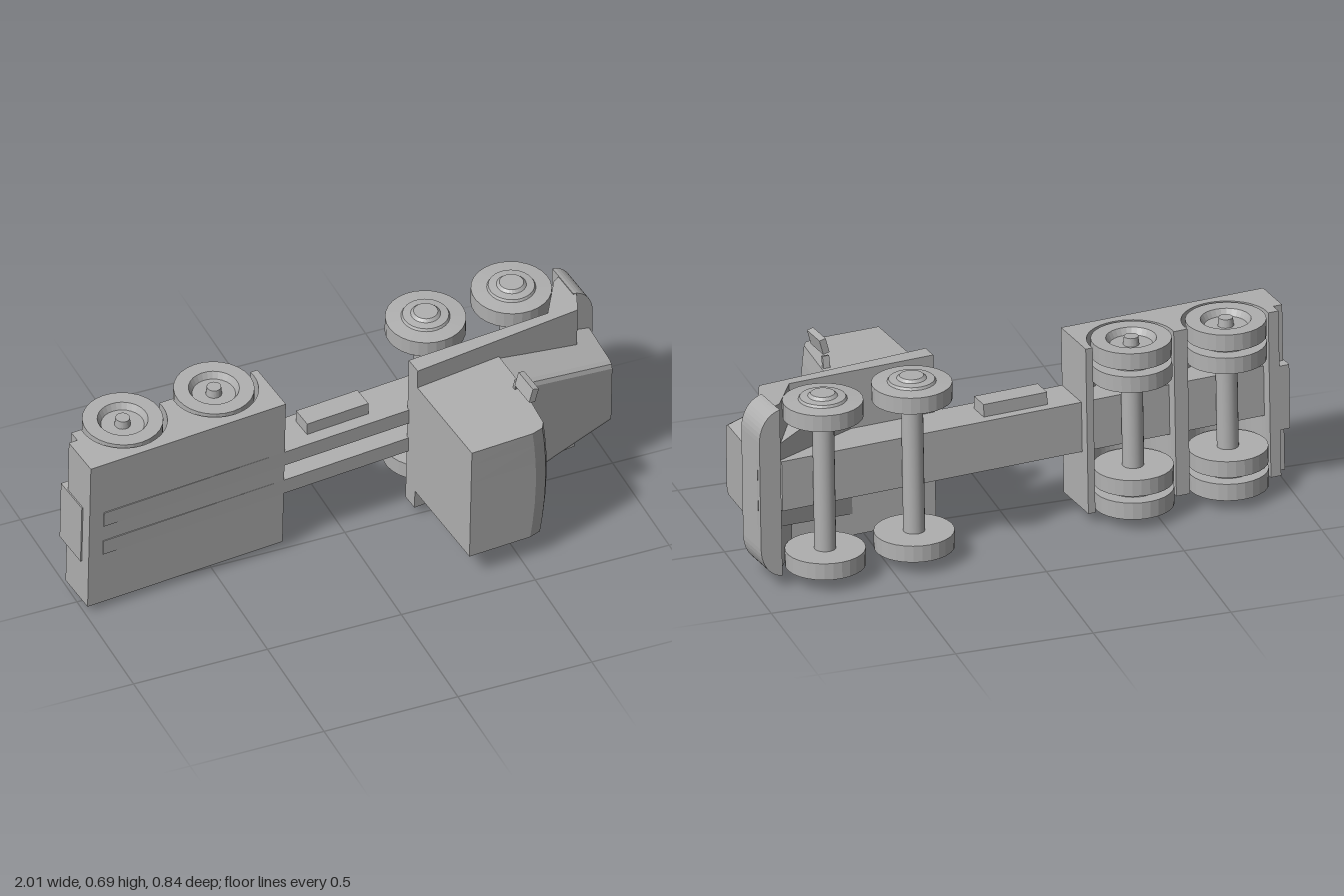
import * as THREE from 'three';

const grey = new THREE.MeshStandardMaterial({ color: 0xb0b0b0 });
grey.name = 'grey';

// Truck frame: x = forward, z = truck's own up, y = across its width
export function createModel() {
  const truck = new THREE.Group();
  truck.name = 'tippedTruck';

  const add = (name, geometry, x = 0, y = 0, z = 0) => {
    const mesh = new THREE.Mesh(geometry, grey);
    mesh.name = name;
    mesh.position.set(x, y, z);
    truck.add(mesh);
    return mesh;
  };

  // Box given by its limits
  const box = (name, x0, x1, y0, y1, z0, z1) =>
    add(name, new THREE.BoxGeometry(x1 - x0, y1 - y0, z1 - z0),
      (x0 + x1) / 2, (y0 + y1) / 2, (z0 + z1) / 2);

  // Side profile in (x, z) extruded across the width
  const sideExtrude = (name, shape, halfWidth) => {
    const g = new THREE.ExtrudeGeometry(shape, { depth: halfWidth * 2, bevelEnabled: false, curveSegments: 14 });
    g.translate(0, 0, -halfWidth);
    g.rotateX(Math.PI / 2);
    return add(name, g);
  };

  // Faceted solid through rings of points, with both ends capped
  const loft = (name, rings) => {
    const tris = [];
    const n = rings[0].length;
    for (let i = 0; i < rings.length - 1; i++) {
      for (let j = 0; j < n; j++) {
        const k = (j + 1) % n;
        const [a, b, c, d] = [rings[i][j], rings[i][k], rings[i + 1][k], rings[i + 1][j]];
        tris.push([a, b, c], [a, c, d]);
      }
    }
    const last = rings[rings.length - 1];
    const capIndex = THREE.ShapeUtils.triangulateShape(
      rings[0].map((p) => name === 'cab' ? new THREE.Vector2(p.x, p.z) : new THREE.Vector2(p.y, p.z)), []);
    // caps wind opposite to each other, matching the sides' edge order
    const order = (t) => (((t[1] - t[0] + n) % n) < ((t[2] - t[0] + n) % n) ? t : [t[0], t[2], t[1]]);
    for (const t of capIndex) {
      const [a, b, c] = order(t);
      tris.push([rings[0][a], rings[0][c], rings[0][b]], [last[a], last[b], last[c]]);
    }
    const mid = new THREE.Vector3(0.6, 0, 0);
    let volume = 0;
    for (const [a, b, c] of tris) {
      volume += a.clone().sub(mid).dot(b.clone().sub(mid).cross(c.clone().sub(mid)));
    }
    const pts = tris.flatMap(([a, b, c]) => (volume < 0 ? [a, c, b] : [a, b, c]));
    const g = new THREE.BufferGeometry().setFromPoints(pts);
    g.computeVertexNormals();
    return add(name, g);
  };

  // Rear bed with wheel arches cut from below
  const axleZ = -0.196, rearAxles = [-0.77, -0.4125], frontAxles = [0.417, 0.753];
  const arch = 0.154;
  const bed = new THREE.Shape();
  bed.moveTo(-0.995, -0.012);
  bed.lineTo(-0.995, -0.17);
  bed.lineTo(-0.962, -0.17);
  bed.lineTo(-0.962, -0.213);
  const archStart = Math.asin((-0.213 - axleZ) / arch);
  for (const x of rearAxles) bed.absarc(x, axleZ, arch, Math.PI - archStart, archStart, true);
  bed.lineTo(-0.233, -0.213);
  bed.lineTo(-0.233, -0.008);
  sideExtrude('bed', bed, 0.31);
  box('rearBumper', -1.0, -0.95, -0.14, 0.1, -0.21, -0.06);

  // Chassis: two rails over a floor
  for (const s of [-1, 1]) box('chassisRail', -0.94, 0.9, s * 0.063 - 0.03, s * 0.063 + 0.03, -0.17, -0.008);
  box('chassisFloor', -0.94, 0.9, -0.034, 0.034, -0.17, -0.1);
  box('fuelTank', -0.12, 0.12, 0.09, 0.14, -0.135, -0.055);

  // Cab with a gently bowed windscreen
  const cabProfile = [[0.255, -0.02], [0.255, 0.437], [0.49, 0.442], [0.535, 0.43], [0.552, 0.405], [0.58, 0.19], [0.585, -0.02]];
  loft('cab', [-1, -0.75, -0.4, 0, 0.4, 0.75, 1].map((t) =>
    cabProfile.map(([x, z]) => new THREE.Vector3(x > 0.3 ? x + 0.018 * (1 - t * t) : x, t * 0.233, z))));

  // Tapered bonnet with softened upper edges and a leaning nose
  const bonnetRing = (x, w, top, bottom, lean) => {
    const half = [[w, bottom], [w, top - 0.022], [w - 0.007, top - 0.007], [w - 0.022, top]];
    const ring = [...half, ...half.map(([y, z]) => [-y, z]).reverse()];
    return ring.map(([y, z]) => new THREE.Vector3(x + (top - z) * lean, y, z));
  };
  loft('bonnet', [bonnetRing(0.57, 0.228, 0.187, -0.02, 0), bonnetRing(0.971, 0.132, 0.138, -0.2, 0.1)]);

  // Wings and running boards
  const wing = new THREE.Shape([[0.255, 0.045], [0.255, -0.02], [0.8, -0.02], [0.9, -0.16], [0.94, -0.18],
    [0.94, -0.07], [0.9, 0.012]].map(([x, z]) => new THREE.Vector2(x, z)));
  sideExtrude('wings', wing, 0.308);

  // Front bumper, rounded in plan
  const bumper = new THREE.Shape();
  bumper.moveTo(0.925, -0.312);
  bumper.bezierCurveTo(0.97, -0.305, 1.004, -0.26, 1.004, -0.2);
  bumper.lineTo(1.004, 0.2);
  bumper.bezierCurveTo(1.004, 0.26, 0.97, 0.305, 0.925, 0.312);
  bumper.lineTo(0.925, -0.312);
  add('bumper', new THREE.ExtrudeGeometry(bumper, { depth: 0.15, bevelEnabled: false, curveSegments: 10 }), 0, 0, -0.217);

  // Mirrors on short arms
  for (const s of [-1, 1]) {
    const arm = box('mirrorArm', 0.55, 0.575, -0.025, 0.025, -0.006, 0.006);
    arm.position.set(0.56, s * 0.25, 0.205);
    arm.rotation.x = s * 0.2;
    const mirror = box('mirror', -0.012, 0.012, -0.028, 0.028, -0.052, 0.052);
    mirror.position.set(0.553, s * 0.299, 0.282);
    mirror.rotation.z = s * -0.25;
  }

  // Wheels turned about the width axis
  const turned = (points) => {
    const g = new THREE.LatheGeometry(points.map(([r, y]) => new THREE.Vector2(r, y)), 28).toNonIndexed();
    g.computeVertexNormals();
    return g;
  };
  const frontWheel = turned([[0, 0.248], [0.14, 0.248], [0.14, 0.309], [0.085, 0.313], [0.08, 0.322],
    [0.052, 0.325], [0.042, 0.335], [0, 0.335]]);
  const rearOuter = turned([[0, 0.25], [0.14, 0.25], [0.14, 0.312], [0.088, 0.312], [0.075, 0.288],
    [0.028, 0.288], [0.025, 0.318], [0, 0.318]]);
  const rearInner = turned([[0, 0.165], [0.14, 0.165], [0.14, 0.225], [0, 0.225]]);
  const hubLink = turned([[0, 0.22], [0.09, 0.22], [0.09, 0.255], [0, 0.255]]);
  const axle = new THREE.CylinderGeometry(0.038, 0.038, 0.5, 20);

  for (const x of [...frontAxles, ...rearAxles]) {
    const isFront = x > 0;
    add('axle', axle, x, 0, axleZ);
    for (const s of [0, Math.PI]) {
      const parts = isFront ? { frontWheel } : { rearOuterWheel: rearOuter, rearInnerWheel: rearInner, hubLink };
      for (const [name, g] of Object.entries(parts)) add(name, g, x, 0, axleZ).rotation.x = s;
    }
  }

  // The truck lies on its side, slightly yawed and rolled
  truck.rotation.set(0.047, 0.1, 0);
  truck.position.set(0, 0.336, 0);
  const model = new THREE.Group();
  model.name = 'truckModel';
  model.add(truck);
  return model;
}
